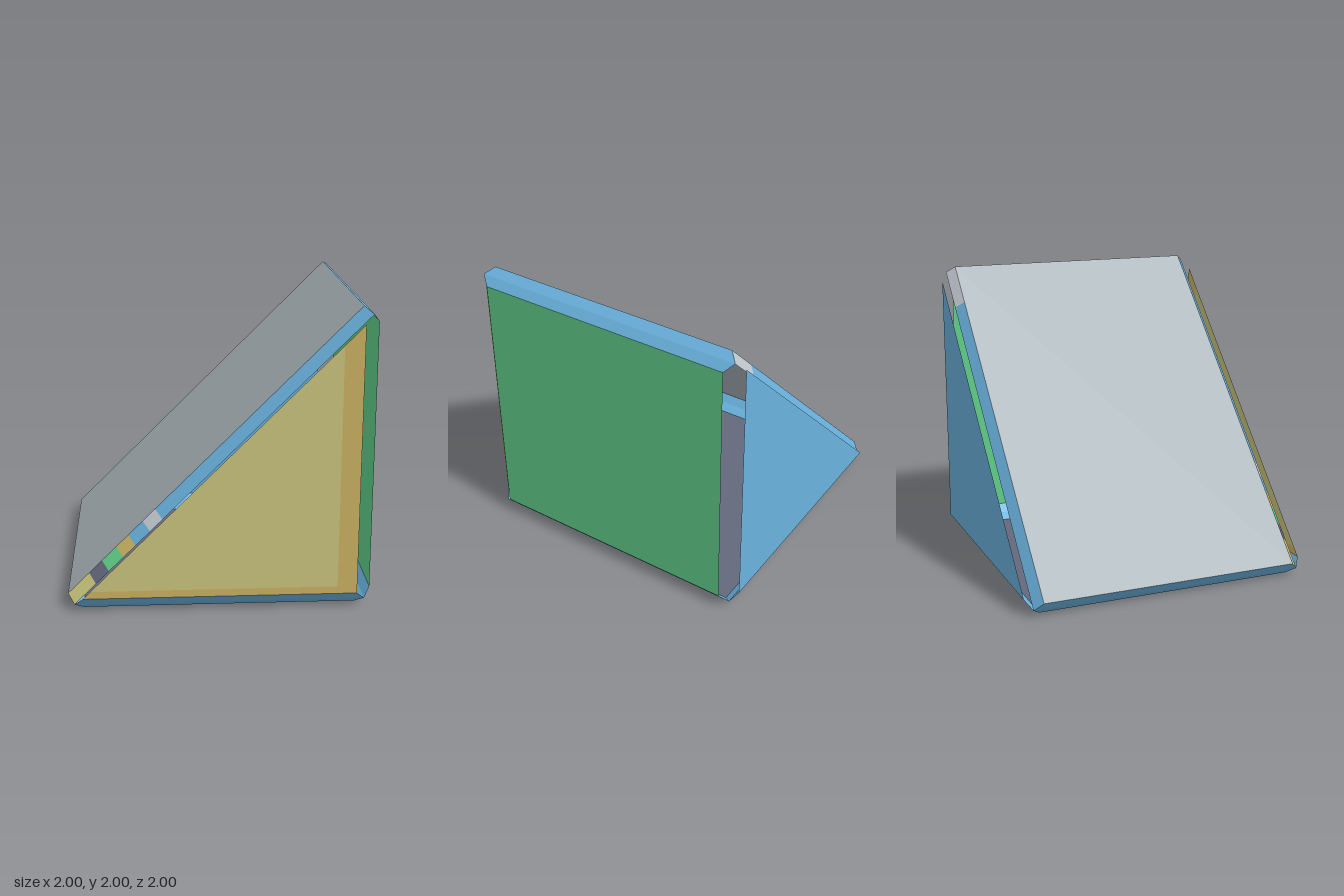
import * as THREE from 'three';

const mat = (name, color) => {
  const m = new THREE.MeshStandardMaterial({ color, side: THREE.DoubleSide });
  m.name = name;
  return m;
};

export function createModel() {
  const group = new THREE.Group();
  group.name = 'bevelledWedge';

  const blue = mat('sky blue', 0x6ab2de);
  const grey = mat('grey', 0xa9b4b9);
  const paleGrey = mat('pale grey', 0xc4ccd2);
  const green = mat('green', 0x62d08a);
  const yellow = mat('straw yellow', 0xcdc77e);
  const ochre = mat('ochre', 0xcdb464);
  const slate = mat('slate', 0x63687c);

  const E = 0.9, M = 0.956, L = 0.044; // panel edge, bevel ridge, ridge height
  const inside = new THREE.Vector3(0.3, 0.7, 0);

  // Flat convex panels, each turned to face away from the inside of the wedge
  function panels(name, material, polygons) {
    const positions = [];
    for (const polygon of polygons) {
      const p = polygon.map((c) => new THREE.Vector3(...c));
      const normal = p[1].clone().sub(p[0]).cross(p[2].clone().sub(p[0]));
      if (normal.dot(p[0].clone().sub(inside)) < 0) p.reverse();
      for (let i = 1; i < p.length - 1; i++) {
        for (const v of [p[0], p[i], p[i + 1]]) positions.push(v.x, v.y, v.z);
      }
    }
    const geometry = new THREE.BufferGeometry();
    geometry.setAttribute('position', new THREE.Float32BufferAttribute(positions, 3));
    geometry.computeVertexNormals();
    const mesh = new THREE.Mesh(geometry, material);
    mesh.name = name;
    group.add(mesh);
  }

  // Large panels
  panels('slope', grey, [[[-1, 0.1, E], [E, 2, E], [E, 2, -E], [-1, 0.1, -E]]]);
  panels('rightAngleWall', green, [[[1, 0.1, E], [1, 0.1, -E], [1, 1.9, -E], [1, 1.9, E]]]);
  panels('floor', slate, [[[-E, 0, -E], [E, 0, -E], [E, 0, E], [-E, 0, E]]]);
  panels('backTriangle', blue, [[[-E, 0.1, -1], [E, 0.1, -1], [E, 1.9, -1]]]);
  panels('frontTriangle', yellow, [[[-0.85, 0.15, 1], [0.77, 0.15, 1], [0.77, 1.77, 1]]]);
  panels('frontTriangleBorder', ochre, [
    [[-E, 0.1, 1], [E, 0.1, 1], [0.77, 0.15, 1], [-0.85, 0.15, 1]],
    [[E, 0.1, 1], [E, 1.9, 1], [0.77, 1.77, 1], [0.77, 0.15, 1]],
  ]);

  // Two-facet bevels around the floor
  for (const s of [1, -1]) {
    panels(s > 0 ? 'frontFloorBevel' : 'backFloorBevel', blue, [
      [[-E, 0, s * E], [E, 0, s * E], [M, L, s * M], [-M, L, s * M]],
      [[-M, L, s * M], [M, L, s * M], [E, 0.1, s], [-E, 0.1, s]],
    ]);
    panels(s > 0 ? 'wallFloorBevel' : 'slopeFloorBevel', blue, [
      [[s * E, 0, -E], [s * E, 0, E], [s * M, L, M], [s * M, L, -M]],
      [[s * M, L, -M], [s * M, L, M], [s, 0.1, E], [s, 0.1, -E]],
    ]);
  }

  // Bevel along the top ridge
  panels('topBevel', blue, [
    [[E, 2, -E], [E, 2, E], [M, 2 - L, M], [M, 2 - L, -M]],
    [[M, 2 - L, -M], [M, 2 - L, M], [1, 1.9, E], [1, 1.9, -E]],
  ]);

  // Single-facet bevels beside the slope, divided into coloured bands
  function slopeBevel(name, side, bands) {
    const at = (t) => [
      [-1 + 1.9 * t, 0.1 + 1.9 * t, side * E],
      [-M + 2 * M * t, L + (2 - 2 * L) * t, side * M],
    ];
    let start = 0;
    bands.forEach(([end, material], i) => {
      const [a, b] = at(start), [c, d] = at(end);
      panels(name + 'Band' + (i + 1), material, [[a, b, d, c]]);
      start = end;
    });
  }
  slopeBevel('frontSlopeBevel', 1, [
    [0.075, yellow], [0.12, slate], [0.17, green], [0.212, ochre],
    [0.262, blue], [0.305, paleGrey], [1, blue],
  ]);
  slopeBevel('backSlopeBevel', -1, [[0.88, blue], [1, paleGrey]]);

  return group;
}
